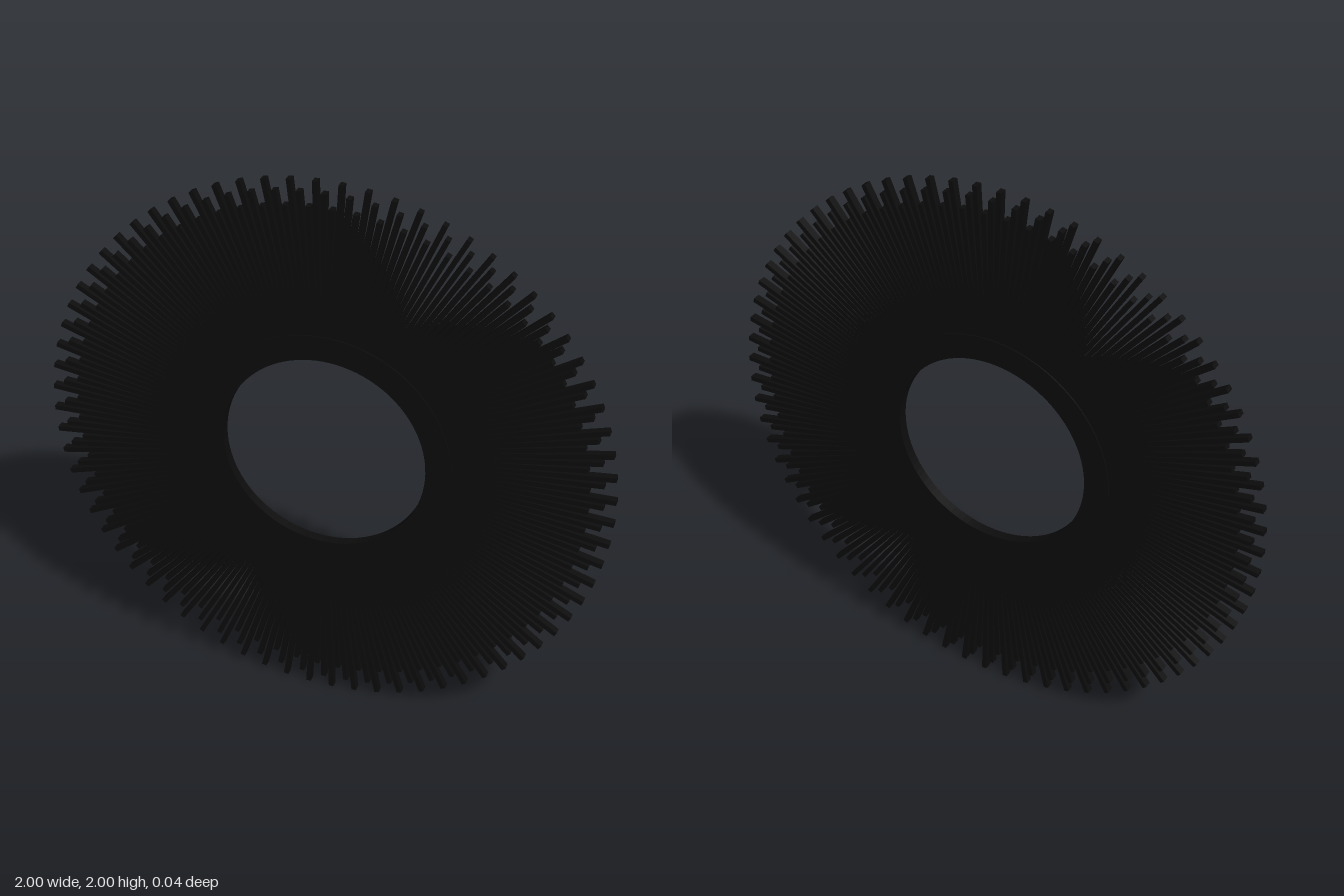
import * as THREE from 'three';

const BRISTLES = 216;
const TIPS = [0.96, 1.0, 0.91]; // tip radii, repeating around the ring
const ROOT = 0.4;

export function createModel() {
  const group = new THREE.Group();
  const black = new THREE.MeshStandardMaterial({ color: 0x0c0c0c });

  // Flat hub ring that holds the bristles
  const outline = new THREE.Shape().absarc(0, 0, 0.45, 0, Math.PI * 2);
  outline.holes.push(new THREE.Path().absarc(0, 0, 0.36, 0, Math.PI * 2, true));
  const ringGeometry = new THREE.ExtrudeGeometry(outline, {
    depth: 0.036, bevelEnabled: false, curveSegments: 48,
  });
  ringGeometry.translate(0, 0, -0.018);
  const ring = new THREE.Mesh(ringGeometry, black);
  ring.name = 'hubRing';
  ring.position.y = 1;
  group.add(ring);

  // Radial bristles in three alternating lengths
  const bristles = new THREE.Group();
  bristles.name = 'bristles';
  bristles.position.y = 1;
  const geometries = TIPS.map((tip) =>
    new THREE.BoxGeometry(tip - ROOT, 0.017, 0.027).translate((tip + ROOT) / 2, 0, 0));
  for (let i = 0; i < BRISTLES; i++) {
    const bristle = new THREE.Mesh(geometries[i % 3], black);
    bristle.name = 'bristle';
    bristle.rotation.z = (i / BRISTLES) * Math.PI * 2;
    bristles.add(bristle);
  }
  group.add(bristles);
  return group;
}
